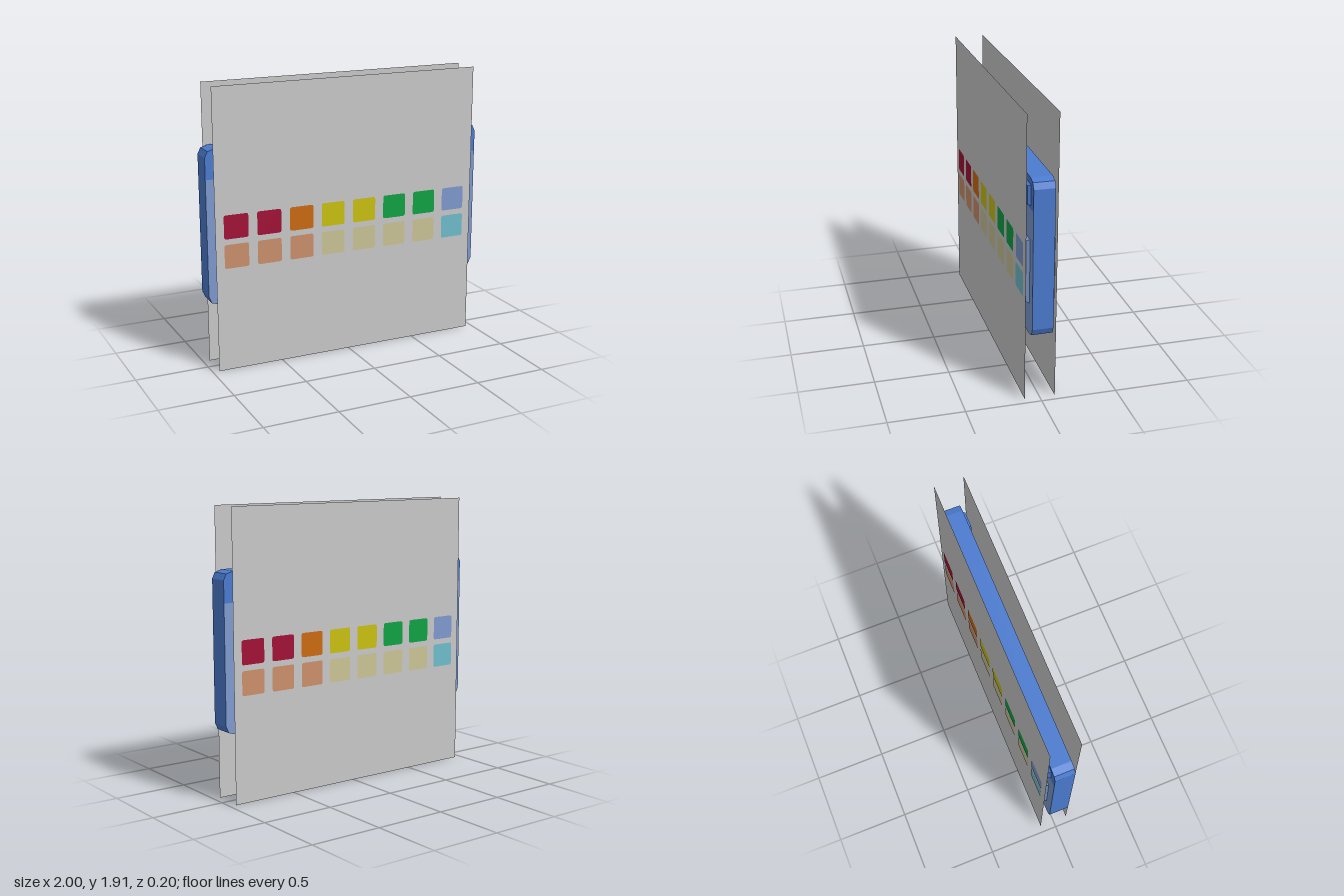
import * as THREE from 'three';

const mat = (name, color, side = THREE.FrontSide) => {
  const m = new THREE.MeshStandardMaterial({ color, side });
  m.name = name;
  return m;
};

export function createModel() {
  const M = {
    grey: mat('sheet grey', 0xc8c8c8, THREE.DoubleSide),
    blue: mat('case blue', 0x4b7bd0),
    soft: mat('soft blue', 0x7e9acf),
    red: mat('red', 0xa01035),
    orange: mat('orange', 0xcb6a10),
    yellow: mat('yellow', 0xc9c010),
    green: mat('green', 0x0fa243),
    peach: mat('peach', 0xcb8f6a),
    cream: mat('cream', 0xcac495),
    teal: mat('teal', 0x6fbccb),
  };
  const model = new THREE.Group();
  model.name = 'lightPanel';

  const add = (parent, name, geometry, material, x = 0, y = 0, z = 0) => {
    const mesh = new THREE.Mesh(geometry, material);
    mesh.name = name;
    mesh.position.set(x, y, z);
    parent.add(mesh);
    return mesh;
  };

  // Case: flat slab with faceted corners, split where the face colour changes
  const DEPTH = 0.138, SPLIT = 1.31;
  const slab = (half) => {
    const pts = [...half, ...half.map(([x, y]) => [-x, y]).reverse()];
    const geo = new THREE.ExtrudeGeometry(
      new THREE.Shape(pts.map(([x, y]) => new THREE.Vector2(x, y))),
      { depth: DEPTH, bevelEnabled: false });
    return geo.translate(0, 0, -DEPTH / 2);
  };
  add(model, 'caseLower',
    slab([[0.93, 0.46], [0.98, 0.475], [1, 0.52], [1, SPLIT]]), [M.soft, M.blue]);
  add(model, 'caseUpper',
    slab([[1, SPLIT], [1, 1.455], [0.98, 1.495], [0.93, 1.51]]), M.blue);

  // Raised block whose outer face is slightly smaller than its base
  const raised = (w, h, d, inset) => {
    const geo = new THREE.BoxGeometry(w, h, d).toNonIndexed();
    const p = geo.attributes.position;
    for (let i = 0; i < p.count; i++) {
      if (p.getZ(i) > 0) {
        p.setX(i, p.getX(i) - Math.sign(p.getX(i)) * inset);
        p.setY(i, p.getY(i) - Math.sign(p.getY(i)) * inset);
      }
    }
    geo.computeVertexNormals();
    return geo;
  };

  // Square with softened corners
  const tileGeometry = (w, h, r) => {
    const s = new THREE.Shape(), x = w / 2, y = h / 2;
    s.moveTo(-x + r, -y).lineTo(x - r, -y);
    s.quadraticCurveTo(x, -y, x, -y + r).lineTo(x, y - r);
    s.quadraticCurveTo(x, y, x - r, y).lineTo(-x + r, y);
    s.quadraticCurveTo(-x, y, -x, y - r).lineTo(-x, -y + r);
    s.quadraticCurveTo(-x, -y, -x + r, -y);
    return new THREE.ShapeGeometry(s, 4);
  };
  const tile = tileGeometry(0.17, 0.162, 0.016);
  const rows = [
    { y: 0.99, colours: ['red', 'red', 'orange', 'yellow', 'yellow', 'green', 'green', 'soft'] },
    { y: 0.79, colours: ['peach', 'peach', 'peach', 'cream', 'cream', 'cream', 'cream', 'teal'] },
  ];

  // Both sides carry the same display, button and tiled sheet
  for (const [name, turn] of [['frontSide', 0], ['backSide', Math.PI]]) {
    const side = new THREE.Group();
    side.name = name;
    side.rotation.y = turn;
    add(side, 'displayBlock', raised(1.87, 0.44, 0.036, 0.015), M.soft, 0, 0.89, 0.078);
    add(side, 'button', raised(0.13, 0.14, 0.03, 0.01), M.blue, 0.88, 1.4, 0.074);
    add(side, 'sheet', new THREE.PlaneGeometry(1.91, 1.914), M.grey, 0, 0.957, 0.1);
    for (const { y, colours } of rows) {
      colours.forEach((c, i) =>
        add(side, `${c}Tile`, tile, M[c], -0.811 + i * 0.2317, y, 0.102));
    }
    model.add(side);
  }
  return model;
}
